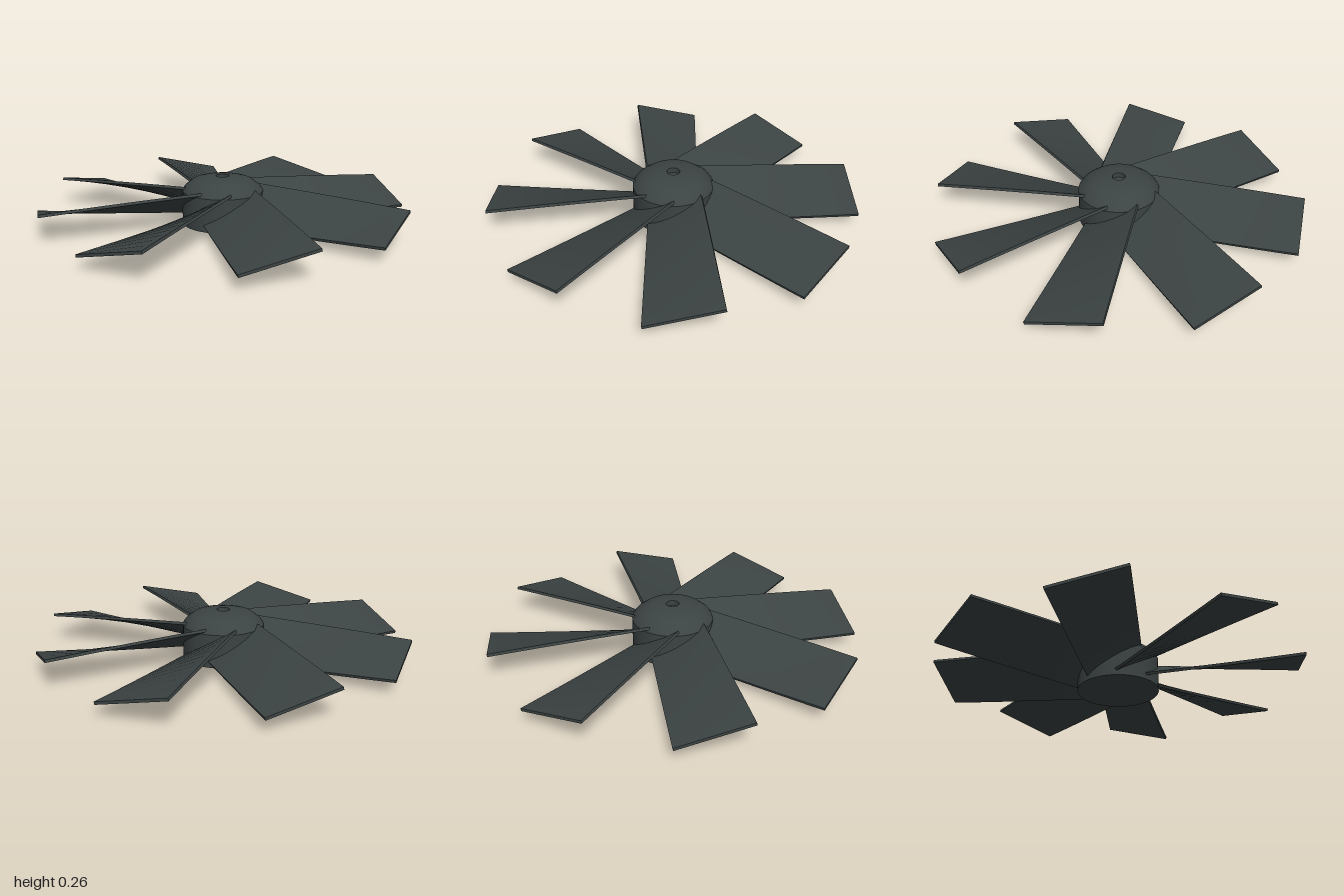
import * as THREE from 'three';
import { toCreasedNormals } from 'three/addons/utils/BufferGeometryUtils.js';

const BLADES = 8;
const ROOT = 0.12, TIP = 1, MID_Y = 0.116, THICKNESS = 0.015;

// Twisted, widening plate pointing along +z, its +x edge raised
function bladeGeometry() {
  const geo = new THREE.BoxGeometry(1, 1, 1, 1, 1, 12);
  const p = geo.attributes.position;
  for (let i = 0; i < p.count; i++) {
    const r = THREE.MathUtils.lerp(ROOT, TIP, p.getZ(i) + 0.5);
    const half = 0.136 + 0.054 * r;
    const pitch = THREE.MathUtils.degToRad(34.3 - 21.5 * r);
    const u = p.getX(i) * 2 * half;
    const t = p.getY(i) * THICKNESS;
    p.setXYZ(i, u - t * Math.sin(pitch), MID_Y + u * Math.tan(pitch) + t * Math.cos(pitch), r);
  }
  geo.computeVertexNormals();
  return geo;
}

// Drum with a shallow dome and a small shaft recess in its top
function hubGeometry() {
  const profile = [
    [0, 0], [0.223, 0], [0.223, 0.185], [0.207, 0.208], [0.162, 0.242],
    [0.115, 0.255], [0.075, 0.262], [0.036, 0.264], [0.036, 0.235], [0, 0.235],
  ].map(([x, y]) => new THREE.Vector2(x, y));
  return toCreasedNormals(new THREE.LatheGeometry(profile, 48), 0.6);
}

export function createModel() {
  const model = new THREE.Group();
  model.name = 'fan';
  const plastic = new THREE.MeshStandardMaterial({ color: 0x3c4343 });
  plastic.name = 'dark grey plastic';

  const hub = new THREE.Mesh(hubGeometry(), plastic);
  hub.name = 'hub';
  model.add(hub);

  // Ring of identical blades
  const geo = bladeGeometry();
  for (let i = 0; i < BLADES; i++) {
    const blade = new THREE.Mesh(geo, plastic);
    blade.name = `blade${i + 1}`;
    blade.rotation.y = (i / BLADES) * Math.PI * 2;
    model.add(blade);
  }
  return model;
}
